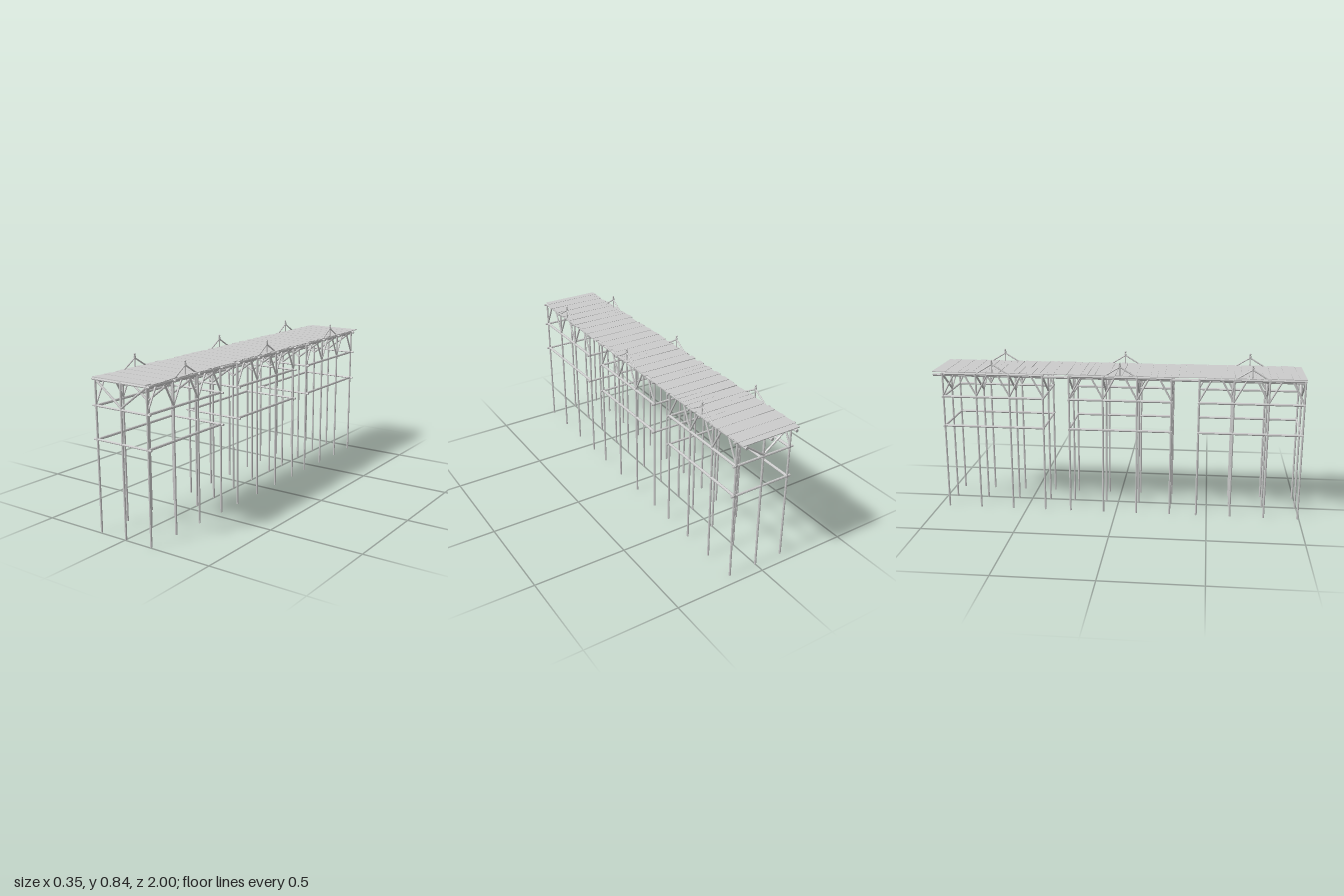
import * as THREE from 'three';

export function createModel() {
  const model = new THREE.Group();
  model.name = 'trestleWalkway';
  const mat = new THREE.MeshStandardMaterial({ color: 0xcccccc, flatShading: true });
  const up = new THREE.Vector3(0, 1, 0);

  let seed = 7;
  const rand = () => {
    seed = (seed * 16807) % 2147483647;
    return seed / 2147483647 - 0.5;
  };

  // Round timber running between two points
  function pole(parent, name, a, b, r, sides = 8) {
    const from = new THREE.Vector3(...a), to = new THREE.Vector3(...b);
    const dir = to.clone().sub(from);
    const mesh = new THREE.Mesh(new THREE.CylinderGeometry(r, r, dir.length(), sides), mat);
    mesh.position.copy(from).add(to).multiplyScalar(0.5);
    mesh.quaternion.setFromUnitVectors(up, dir.normalize());
    mesh.name = name;
    parent.add(mesh);
  }

  const side = 0.158, topY = 0.763, midY = 0.636, lowY = 0.471;
  const spacing = 0.183;

  function bay(front) {
    const g = new THREE.Group();
    g.name = 'trestleBay';
    const rows = [0, 1, 2, 3].map(i => front - i * spacing);
    const back = rows[3];

    rows.forEach((z, i) => {
      // Piles and cap beam of each row
      for (const x of [-side, 0, side]) pole(g, 'pile', [x, 0, z], [x, topY, z], 0.0055);
      pole(g, 'capBeam', [-0.177, topY, z], [0.177, topY, z], 0.006);
      for (const s of [-1, 1]) {
        pole(g, 'crossBrace', [0, 0.645, z], [s * 0.15, 0.757, z], 0.0055);
        // Braces fanning out along the sides
        for (const d of [-1, 1]) {
          if ((i === 0 && d > 0) || (i === 3 && d < 0)) continue;
          pole(g, 'sideBrace', [s * side, midY + 0.008, z], [s * side, 0.758, z + d * 0.062], 0.005);
        }
      }
    });

    // Lower ties around the bay
    for (const y of [midY, lowY]) {
      for (const z of [front, back]) pole(g, 'crossTie', [-0.177, y, z], [0.177, y, z], 0.006);
      for (const s of [-1, 1]) pole(g, 'sideTie', [s * side, y, front + 0.006], [s * side, y, back - 0.006], 0.007);
    }
    for (const x of [-side, 0, side]) pole(g, 'topRail', [x, topY, front + 0.005], [x, topY, back - 0.005], 0.007);

    // Braced marker posts at the middle of the bay
    const zc = (front + back) / 2;
    for (const s of [-1, 1]) {
      const x = s * side;
      pole(g, 'markerPost', [x, 0.76, zc], [x, 0.835, zc], 0.0035);
      pole(g, 'markerCollar', [x, 0.82, zc], [x, 0.83, zc], 0.006);
      for (const d of [-1, 1]) pole(g, 'markerBrace', [x, 0.768, zc + d * 0.085], [x, 0.82, zc], 0.004);
      const knob = new THREE.Mesh(new THREE.SphereGeometry(0.0055, 8, 6), mat);
      knob.position.set(x, 0.839, zc);
      knob.name = 'markerKnob';
      g.add(knob);
    }
    model.add(g);
  }
  for (const front of [0.992, 0.297, -0.394]) bay(front);

  // Stringers running the full length under the deck
  for (const x of [-0.145, 0, 0.145]) pole(model, 'stringer', [x, 0.754, 0.985], [x, 0.754, -0.998], 0.0085);

  // Slightly uneven deck planks
  const deck = new THREE.Group();
  deck.name = 'deck';
  const count = 54, pitch = 2 / count;
  for (let i = 0; i < count; i++) {
    const end = i === 0 || i === count - 1;
    const plank = new THREE.Mesh(new THREE.BoxGeometry(0.335 + rand() * 0.018, 0.004, pitch * (end ? 1 : 0.98 + rand() * 0.12)), mat);
    plank.position.set(rand() * 0.014, 0.772 + (i % 2) * 0.001, -1 + (i + 0.5) * pitch);
    plank.rotation.y = end ? 0 : rand() * 0.024;
    plank.name = 'plank';
    deck.add(plank);
  }
  model.add(deck);
  return model;
}
